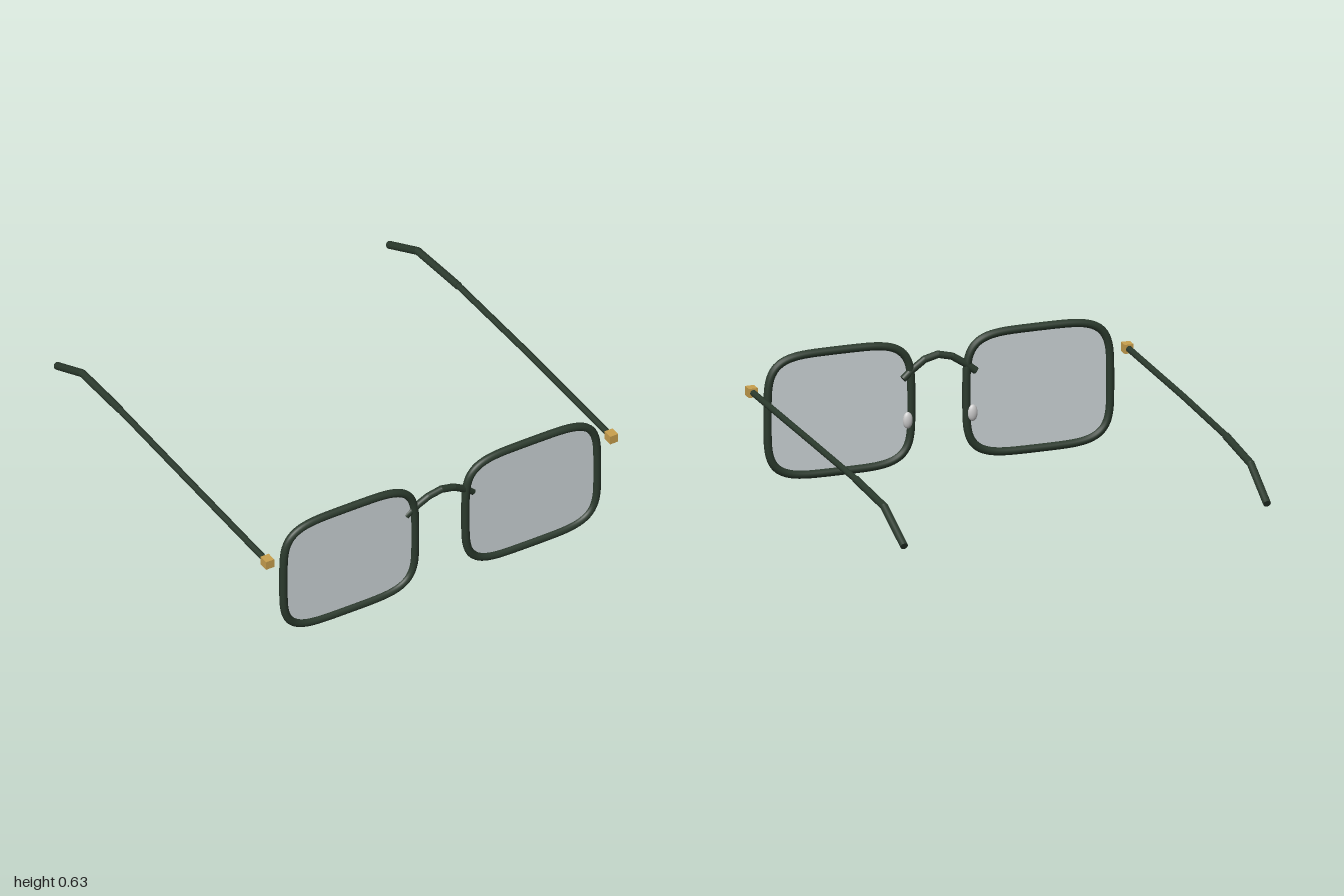
import * as THREE from 'three';

const frameMat = new THREE.MeshStandardMaterial({ color: 0x2b3a2d });
const lensMat = new THREE.MeshStandardMaterial({ color: 0xcfd6d9, side: THREE.DoubleSide });
const hingeMat = new THREE.MeshStandardMaterial({ color: 0xc9a04e });
const padMat = new THREE.MeshStandardMaterial({ color: 0xcccccc });

function addMesh(parent, name, geometry, material) {
  const mesh = new THREE.Mesh(geometry, material);
  mesh.name = name;
  parent.add(mesh);
  return mesh;
}

// Capped straight rods joined by small balls at the bends
function rod(name, points, radius) {
  const group = new THREE.Group();
  group.name = name;
  const pts = points.map((p) => new THREE.Vector3(...p));
  for (let i = 0; i < pts.length - 1; i++) {
    const dir = pts[i + 1].clone().sub(pts[i]);
    const geo = new THREE.CylinderGeometry(radius, radius, dir.length(), 12);
    const piece = addMesh(group, name + 'Piece', geo, frameMat);
    piece.position.copy(pts[i]).addScaledVector(dir, 0.5);
    piece.quaternion.setFromUnitVectors(new THREE.Vector3(0, 1, 0), dir.normalize());
    if (i > 0) {
      const joint = addMesh(group, name + 'Joint', new THREE.SphereGeometry(radius, 12, 8), frameMat);
      joint.position.copy(pts[i]);
    }
  }
  return group;
}

// Rounded-square outline (superellipse) of a lens
function lensOutline(halfWidth, halfHeight, count = 64) {
  const power = 2 / 4.4;
  const bend = (v) => Math.sign(v) * Math.abs(v) ** power;
  return Array.from({ length: count }, (_, i) => {
    const a = ((i + 0.5) / count) * Math.PI * 2;
    return new THREE.Vector2(halfWidth * bend(Math.cos(a)), halfHeight * bend(Math.sin(a)));
  });
}

function createSide(side) {
  const group = new THREE.Group();
  group.name = side > 0 ? 'leftSide' : 'rightSide';

  // Rim and lens
  const outline = lensOutline(0.354, 0.295);
  const path = new THREE.CatmullRomCurve3(outline.map((p) => new THREE.Vector3(p.x, p.y, 0)), true);
  const rim = addMesh(group, 'rim', new THREE.TubeGeometry(path, 128, 0.0195, 12, true), frameMat);
  const lens = addMesh(group, 'lens', new THREE.ShapeGeometry(new THREE.Shape(outline)), lensMat);
  for (const part of [rim, lens]) part.position.set(side * 0.49, 0.317, 0.967);

  // Nose pad
  const pad = addMesh(group, 'nosePad', new THREE.SphereGeometry(1, 16, 12), padMat);
  pad.scale.set(0.024, 0.04, 0.016);
  pad.position.set(side * 0.16, 0.237, 0.948);

  // Hinge block
  const hinge = addMesh(group, 'hinge', new THREE.BoxGeometry(0.044, 0.044, 0.05), hingeMat);
  hinge.position.set(side * 0.926, 0.462, 0.96);

  // Temple arm with a thicker ear tip
  group.add(rod('temple', [
    [side * 0.926, 0.462, 0.95],
    [side * 0.921, 0.461, 0.2],
    [side * 0.912, 0.454, -0.41],
  ], 0.0155));
  group.add(rod('earTip', [
    [side * 0.912, 0.454, -0.39],
    [side * 0.903, 0.43, -0.742],
    [side * 0.894, 0.311, -0.983],
  ], 0.0185));
  return group;
}

export function createModel() {
  const model = new THREE.Group();
  model.name = 'eyeglasses';
  for (const side of [1, -1]) model.add(createSide(side));

  // Arched bridge
  model.add(rod('bridge', [
    [-0.18, 0.436, 0.958],
    [-0.135, 0.472, 0.965],
    [-0.068, 0.515, 0.974],
    [0, 0.531, 0.977],
    [0.068, 0.515, 0.974],
    [0.135, 0.472, 0.965],
    [0.18, 0.436, 0.958],
  ], 0.0175));
  return model;
}
